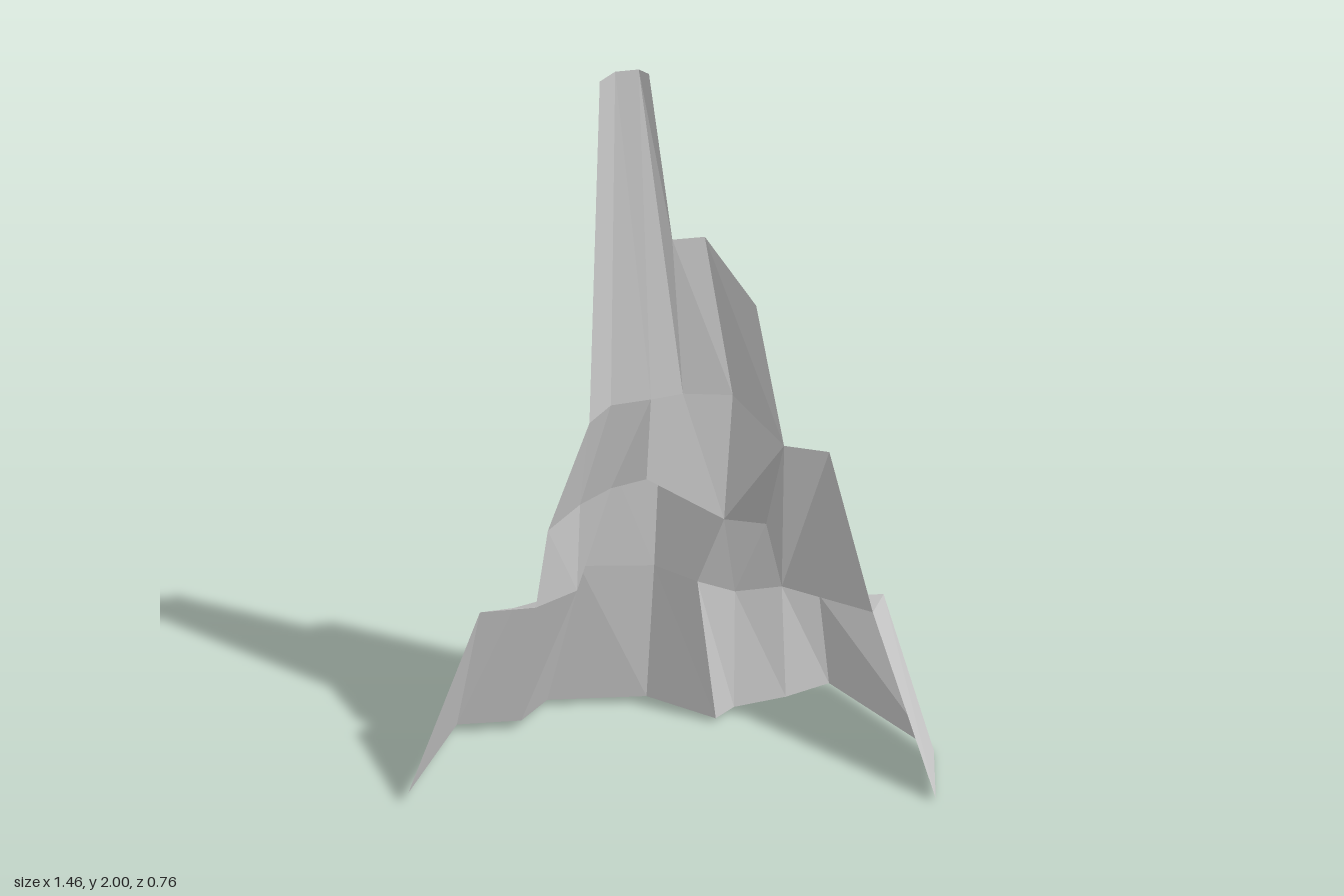
import * as THREE from 'three';

const material = new THREE.MeshStandardMaterial({ color: 0xcccccc, flatShading: true, side: THREE.DoubleSide });

// Lofts a faceted sheet through cross-sections; a repeated point pinches a quad to a triangle.
function loft(name, ...rows) {
  const pos = [];
  const same = (p, q) => p.every((v, i) => v === q[i]);
  const tri = (a, b, c) => {
    if (!same(a, b) && !same(b, c) && !same(a, c)) pos.push(...a, ...b, ...c);
  };
  for (let r = 0; r + 1 < rows.length; r++) {
    const lo = rows[r], up = rows[r + 1];
    for (let i = 0; i + 1 < lo.length; i++) {
      tri(lo[i], up[i], lo[i + 1]);
      tri(lo[i + 1], up[i], up[i + 1]);
    }
  }
  const geo = new THREE.BufferGeometry();
  geo.setAttribute('position', new THREE.Float32BufferAttribute(pos, 3));
  geo.computeVertexNormals();
  const mesh = new THREE.Mesh(geo, material);
  mesh.name = name;
  return mesh;
}

export function createModel() {
  const group = new THREE.Group();
  group.name = 'rockCliff';

  // Shared corners where neighbouring rock faces meet
  const footRight = [-0.35, 0.03, -0.28], footLeft = [0.19, 0.015, -0.16];
  const notch = [-0.21, 0.5, -0.16], gully = [0.13, 0.48, -0.15];
  const neck = [-0.115, 0.81, -0.145], back = [-0.03, 0.85, -0.095], saddle = [0.18, 0.71, -0.07];

  // Right buttress and its sloping ledge
  const rightRim = [[-0.5, 0.53, -0.07], [-0.38, 0.45, -0.2], notch];
  const rightInner = [-0.37, 0.58, 0.03];
  group.add(loft('rightButtress', [[-0.73, 0.04, 0], [-0.53, 0.03, -0.31], footRight], rightRim));
  group.add(loft('rightLedge', rightRim, [rightInner, notch, notch]));

  // Middle buttress, bulging backwards, with its ledge
  const middleRim = [neck, [-0.07, 0.79, -0.27], [0.05, 0.78, -0.26], saddle];
  group.add(loft('middleButtress',
    [footRight, [-0.25, 0.02, -0.38], [0.03, 0.02, -0.32], footLeft],
    [notch, [-0.17, 0.5, -0.29], [0.04, 0.48, -0.27], gully],
    middleRim));
  group.add(loft('middleLedge', middleRim, [neck, back, back, saddle]));

  // Left buttress wrapping round to the front, with its ledge
  const l1 = [0.255, 0.4, -0.2], l2 = [0.39, 0.4, -0.19], l3 = [0.51, 0.34, -0.21];
  const l4 = [0.65, 0.4, -0.07], l5 = [0.55, 0.46, 0.11];
  group.add(loft('leftButtress',
    [footLeft, [0.26, 0.01, -0.21], [0.42, 0.01, -0.22], [0.57, 0, -0.27], [0.73, 0.01, 0.16], [0.65, 0.01, 0.38]],
    [gully, l1, l2, l3, l4, l5]));
  group.add(loft('leftLedge', [l2, l3, l4], [l2, l5, l5]));

  // Left shoulder wall
  const fold = [0.31, 0.66, -0.1], brow = [0.25, 1.06, 0.21], shoulder = [0.41, 0.97, 0.11];
  group.add(loft('gullyFace', [gully, l1], [saddle, saddle]));
  group.add(loft('shoulderFoot', [saddle, l1, l2], [saddle, fold, fold]));
  group.add(loft('shoulderWall', [saddle, fold, l2, l5], [brow, brow, shoulder, shoulder]));

  // Main wall narrowing to the spire
  const wall = [[-0.33, 0.8, 0.02], [-0.2, 0.77, -0.15], neck, back, saddle];
  const waist = [[-0.21, 1.09, 0.005], [-0.13, 1.09, -0.08], [-0.02, 1.09, -0.085], [0.07, 1.09, -0.095], [0.2, 1.08, -0.07]];
  group.add(loft('lowerWall', [rightInner, notch, notch], wall.slice(0, 3)));
  group.add(loft('mainWall', wall, waist));

  // Tall spire
  const notchTop = [0.035, 1.54, -0.075], peak = [0.12, 1.54, -0.07];
  const tip = [[-0.165, 2, -0.02], [-0.11, 2, -0.08], [-0.05, 2, -0.08]];
  group.add(loft('spire', [...waist.slice(0, 3), waist[3]], [...tip, notchTop]));
  group.add(loft('spireEdge', [tip[2], notchTop], [tip[2], [-0.035, 2, -0.04]]));

  // Lower second peak with a wing turning to the front
  group.add(loft('secondPeak', [waist[3], waist[4], brow], [notchTop, peak, [0.205, 1.41, 0.1]]));
  group.add(loft('secondPeakFoot', [saddle, brow], [waist[4], brow]));

  return group;
}
